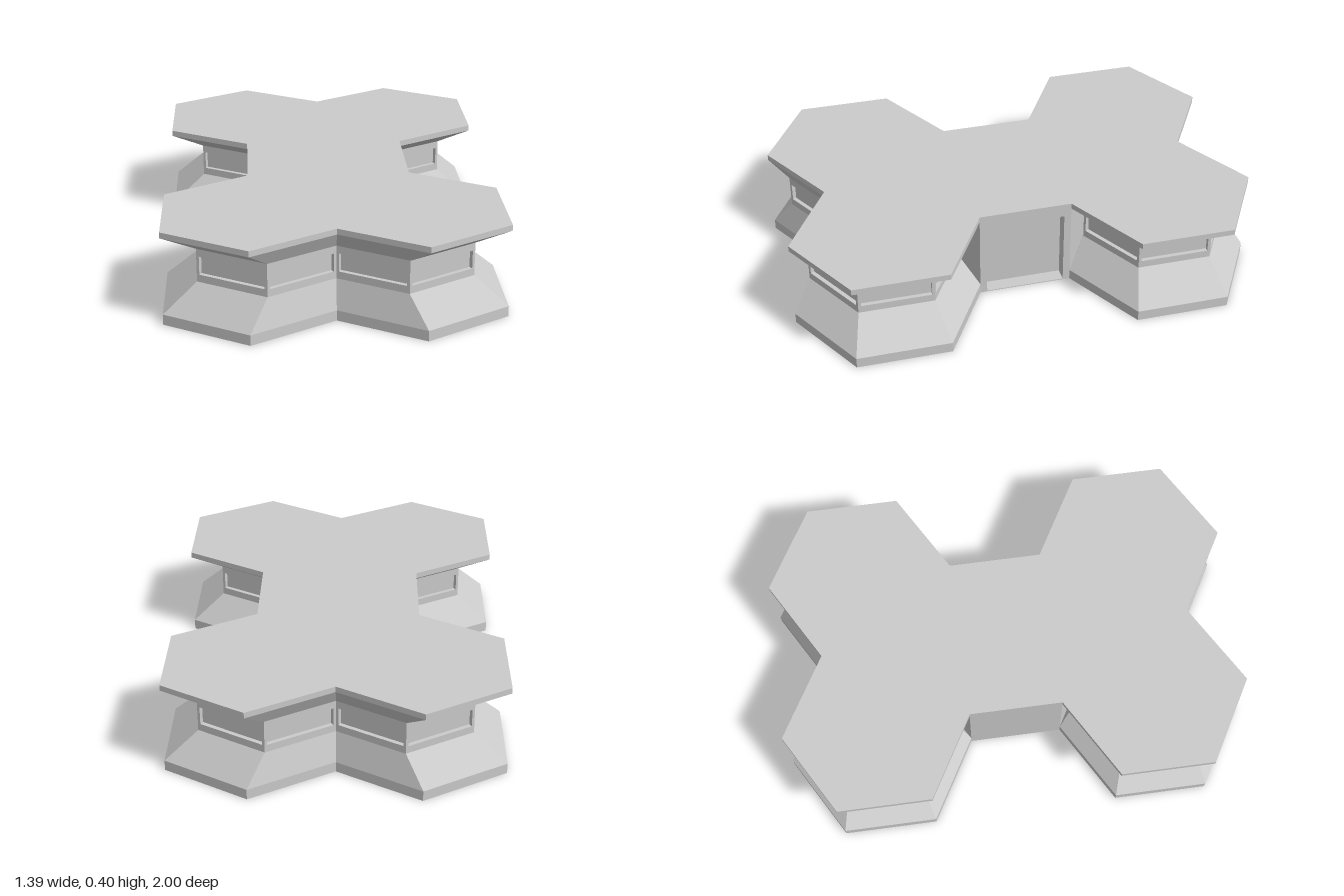
import * as THREE from 'three';

const R = 0.4;                          // hexagon corner radius
const W = R * Math.sqrt(3) / 2;         // hexagon half width
const H = 0.4;                          // building height
const ZC = 0.6;                         // distance of each wing from the middle
const WAIST = 0.8;                      // scale of the wall line under the eaves

const material = new THREE.MeshStandardMaterial({ color: 0xcccccc, flatShading: true });

function addMesh(parent, name, geometry) {
  const mesh = new THREE.Mesh(geometry, material);
  mesh.name = name;
  parent.add(mesh);
  return mesh;
}

// Geometry from four-cornered faces, corners anticlockwise from outside
function quadGeometry(quads) {
  const pos = [];
  for (const [a, b, c, d] of quads) for (const p of [a, b, c, a, c, d]) pos.push(p.x, p.y, p.z);
  const g = new THREE.BufferGeometry();
  g.setAttribute('position', new THREE.Float32BufferAttribute(pos, 3));
  g.computeVertexNormals();
  return g;
}

// Outline of two joined hexagons, relative to the wing centre [x, z]
const right = [[0, 0.2], [W, R], [2 * W, 0.2], [2 * W, -0.2], [W, -R], [0, -0.2]];
const left = right.slice(1, 5).reverse().map(([x, z]) => [-x, z]);
const outline = [...right, ...left];

const ring = (y, s) => outline.map(([x, z]) => new THREE.Vector3(x * s, y, z * s));

// Band of faces between two rings
function band(lower, upper) {
  return lower.map((p, i) => {
    const j = (i + 1) % lower.length;
    return [p, lower[j], upper[j], upper[i]];
  });
}

// Wall with a sunken window between two rings; returns wall faces and the pane
function windowWall(a, b, c, d) {
  const along = b.clone().sub(a).normalize();
  const inward = new THREE.Vector3(0, 1, 0).cross(along).normalize().multiplyScalar(0.018);
  const len = a.distanceTo(b), m = 0.012;
  const at = (t, y) => a.clone().addScaledVector(along, t).setY(y);
  const hole = [at(m, 0.2), at(len - m, 0.2), at(len - m, 0.278), at(m, 0.278)];
  // make sure the recess goes away from the outside face
  const outward = along.clone().cross(new THREE.Vector3(0, 1, 0));
  if (inward.dot(outward) > 0) inward.negate();
  const pane = hole.map((p) => p.clone().add(inward));
  const corners = [a, b, c, d];
  const faces = [];
  for (let i = 0; i < 4; i++) {
    const j = (i + 1) % 4;
    faces.push([corners[i], corners[j], hole[j], hole[i]]);
    faces.push([hole[i], hole[j], pane[j], pane[i]]);
  }
  return { faces, pane };
}

function createWing() {
  const wing = new THREE.Group();
  wing.name = 'wing';

  // Sloping base and overhanging eaves
  const sill = ring(0.168, WAIST), head = ring(0.31, WAIST);
  const foot = ring(0.045, 1), eave = ring(0.375, 1);
  addMesh(wing, 'base', quadGeometry([...band(ring(0, 1), foot), ...band(foot, sill)]));
  addMesh(wing, 'eaves', quadGeometry([...band(head, eave), ...band(eave, ring(H, 1))]));

  // Window walls; the two walls facing the middle block stay plain
  const walls = [], panes = [];
  band(sill, head).forEach((q, i) => {
    if (i === 4 || i === 5) { walls.push(q); return; }
    const { faces, pane } = windowWall(...q);
    walls.push(...faces);
    panes.push(pane);
  });
  addMesh(wing, 'windowWalls', quadGeometry(walls));
  addMesh(wing, 'windowPanes', quadGeometry(panes));

  // Flat roof and floor, one hexagon per room
  for (const side of [-1, 1]) {
    const hex = () => new THREE.CircleGeometry(R, 6, Math.PI / 2);
    addMesh(wing, 'roof', hex().rotateX(-Math.PI / 2)).position.set(side * W, H, 0);
    addMesh(wing, 'floor', hex().rotateX(Math.PI / 2)).position.set(side * W, 0, 0);
  }
  return wing;
}

function createMiddle() {
  const middle = new THREE.Group();
  middle.name = 'middleBlock';
  const doorTop = 0.34, floorTop = 0.004, half = 0.17, depth = 0.06;

  // Hexagonal walls with a doorway recess on the +x side
  const shape = new THREE.Shape([
    [W, -0.2], [W, -half], [W - depth, -half], [W - depth, half], [W, half],
    [W, 0.2], [0, R], [-W, 0.2], [-W, -0.2], [0, -R],
  ].map(([x, y]) => new THREE.Vector2(x, y)));
  const walls = new THREE.ExtrudeGeometry(shape, { depth: doorTop - floorTop, bevelEnabled: false });
  addMesh(middle, 'entranceWalls', walls.rotateX(-Math.PI / 2)).position.y = floorTop;

  // Full slabs above and below the doorway
  const slab = (name, y0, y1) => {
    addMesh(middle, name, new THREE.CylinderGeometry(R, R, y1 - y0, 6)).position.y = (y0 + y1) / 2;
  };
  slab('roofSlab', doorTop, H);
  slab('floorSlab', 0, floorTop);
  return middle;
}

export function createModel() {
  const model = new THREE.Group();
  model.name = 'hexagonalBuilding';
  model.add(createMiddle());
  for (const side of [1, -1]) {
    const wing = createWing();
    wing.position.z = side * ZC;
    if (side < 0) wing.rotation.y = Math.PI;
    model.add(wing);
  }
  return model;
}
